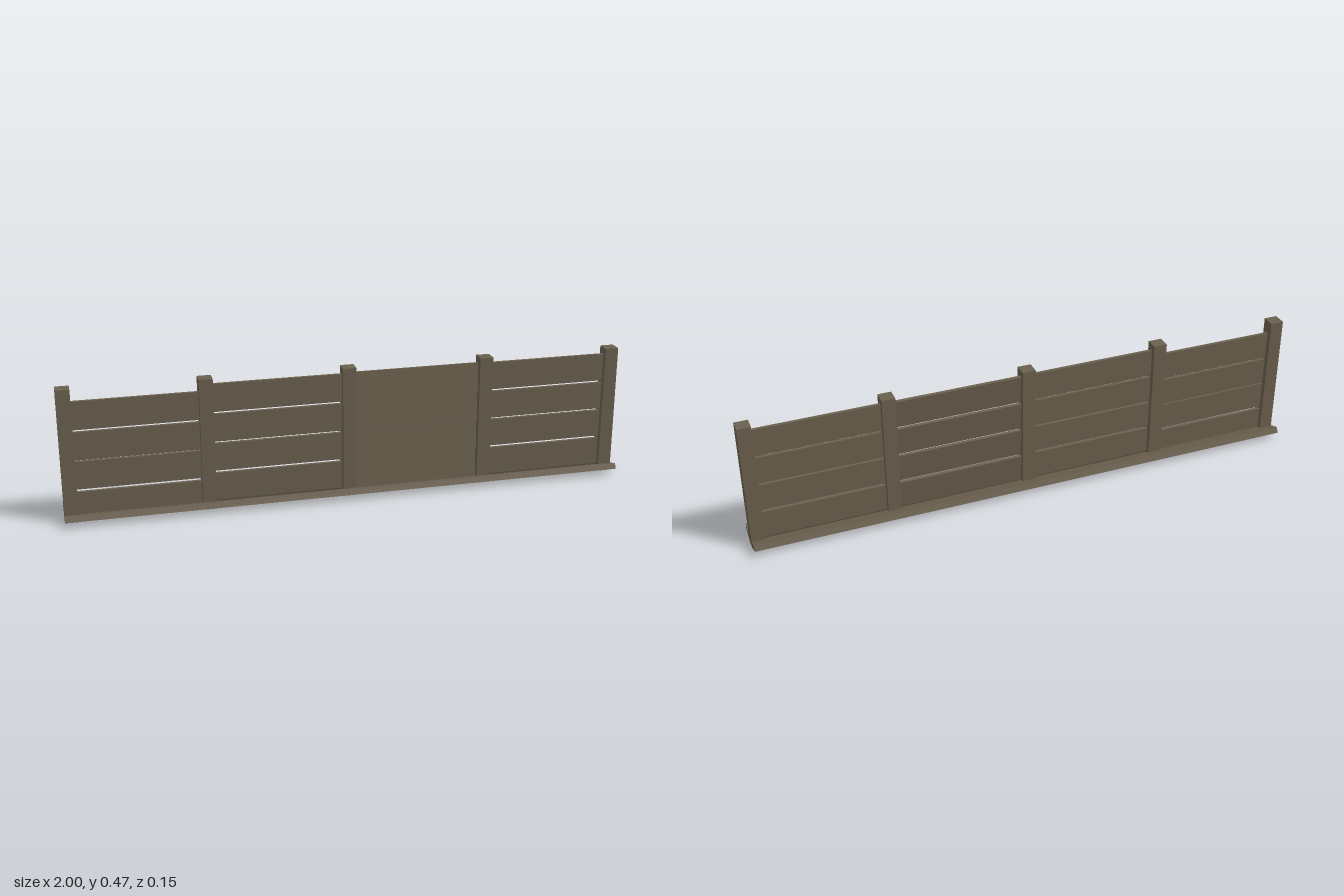
import * as THREE from 'three';

export function createModel() {
  const fence = new THREE.Group();
  fence.name = 'plankFence';
  const wood = new THREE.MeshStandardMaterial({ color: 0x6b604e });
  wood.name = 'weathered wood';

  function addBox(name, w, h, d, x, y, z, tilt = 0) {
    const mesh = new THREE.Mesh(new THREE.BoxGeometry(w, h, d), wood);
    mesh.name = name;
    mesh.position.set(x, y, z);
    mesh.rotation.x = tilt;
    fence.add(mesh);
  }

  // Square posts standing on the ground
  const postX = [-0.976, -0.503, -0.003, 0.497, 0.976];
  const postSize = 0.048, postHeight = 0.473;
  for (const x of postX) addBox('post', postSize, postHeight, postSize, x, postHeight / 2, 0);

  // Horizontal planks of each bay: centre heights, plank height and lean
  const bays = [
    { centres: [0.052, 0.162, 0.267, 0.375], height: 0.1, lean: 0 },
    { centres: [0.075, 0.184, 0.291, 0.399], height: 0.1, lean: 0 },
    { centres: [0.073, 0.182, 0.29, 0.398], height: 0.105, lean: -0.1 },
    { centres: [0.075, 0.184, 0.291, 0.399], height: 0.1, lean: 0 },
  ];
  bays.forEach(({ centres, height, lean }, i) => {
    const width = postX[i + 1] - postX[i] - postSize + 0.01;
    const x = (postX[i] + postX[i + 1]) / 2;
    for (const y of centres) addBox('plank', width, height, 0.012, x, y, 0, lean);
  });

  // Sloping base boards, rising outward on both sides
  const slope = THREE.MathUtils.degToRad(20);
  for (const side of [1, -1]) {
    addBox('baseBoard', 2, 0.022, 0.0645, 0, 0.0214, side * 0.04, -side * slope);
  }

  return fence;
}
